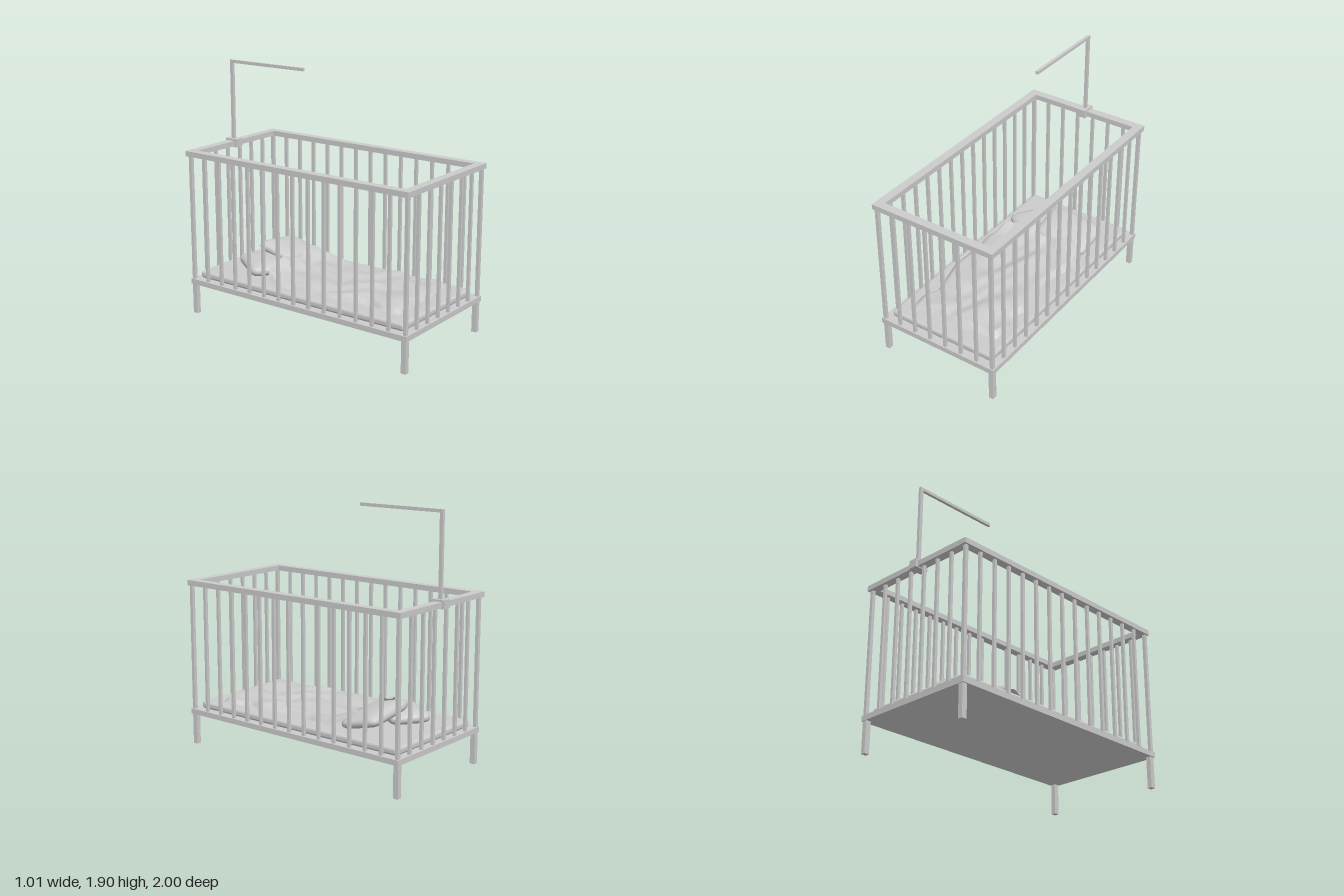
import * as THREE from 'three';
import { RoundedBoxGeometry } from 'three/addons/geometries/RoundedBoxGeometry.js';

const material = new THREE.MeshStandardMaterial({ color: 0xcccccc });
const clothMaterial = new THREE.MeshStandardMaterial({ color: 0xcccccc, side: THREE.DoubleSide });

function add(parent, name, geometry, x = 0, y = 0, z = 0, mat = material) {
  const mesh = new THREE.Mesh(geometry, mat);
  mesh.name = name;
  mesh.position.set(x, y, z);
  parent.add(mesh);
  return mesh;
}

// box given by its lower and upper limits on each axis
function box(parent, name, [x0, x1], [y0, y1], [z0, z1]) {
  return add(parent, name, new THREE.BoxGeometry(x1 - x0, y1 - y0, z1 - z0),
    (x0 + x1) / 2, (y0 + y1) / 2, (z0 + z1) / 2);
}

// cushion: a sphere squared off in plan, with full middle and thinner rim
function pillowGeometry(w, h, d) {
  const g = new THREE.SphereGeometry(1, 48, 32);
  const p = g.attributes.position;
  for (let i = 0; i < p.count; i++) {
    const x = p.getX(i), y = p.getY(i), z = p.getZ(i);
    const angle = Math.atan2(z, x);
    const c = Math.cos(angle), s = Math.sin(angle);
    const radius = Math.min(1, Math.hypot(x, z)) ** 0.75 * (c ** 8 + s ** 8) ** (-1 / 8);
    const height = Math.sign(y) * Math.abs(y) ** 0.85;
    p.setXYZ(i, c * radius * w / 2, height * h / 2, s * radius * d / 2);
  }
  g.computeVertexNormals();
  return g;
}

// smooth function through evenly spaced values
function spline(values) {
  const curve = new THREE.SplineCurve(values.map((v, i) => new THREE.Vector2(i, v)));
  return t => curve.getPoint(THREE.MathUtils.clamp(t, 0, 1)).y;
}

// crumpled sheet with wavy outline, edges falling to the mattress
function blanketGeometry() {
  const left = spline([-0.37, -0.4, -0.385, -0.385, -0.39, -0.37, -0.34, -0.31, -0.35, -0.34]);
  const right = spline([0.35, 0.38, 0.35, 0.315, 0.31, 0.345, 0.38, 0.34, 0.385, 0.37]);
  const back = spline([-0.31, -0.36, -0.37, -0.385, -0.385, -0.38, -0.41, -0.37]);
  const front = spline([0.83, 0.83, 0.81, 0.82, 0.825, 0.81, 0.8, 0.78]);
  const g = new THREE.PlaneGeometry(1, 1, 70, 110);
  const p = g.attributes.position, uv = g.attributes.uv;
  const step = THREE.MathUtils.smoothstep;
  for (let i = 0; i < p.count; i++) {
    const u = uv.getX(i), v = 1 - uv.getY(i);
    const x = THREE.MathUtils.lerp(left(v), right(v), u);
    const z = THREE.MathUtils.lerp(back(u), front(u), v);
    const folds = 0.007 * Math.sin(9 * x + 13 * z + 2 * Math.sin(7 * x - 3 * z))
      + 0.006 * Math.sin(21 * x - 11 * z + 1.5 * Math.sin(9 * z))
      + 0.004 * Math.sin(17 * z + 26 * x + 2 * Math.sin(12 * x));
    const side = step(Math.min(u, 1 - u) * 0.75, -0.02, 0.05);
    const foot = step((1 - v) * 1.2, -0.02, 0.05);
    const overPillow = 0.075 * (1 - step(z, -0.42, -0.2)) * (0.45 + 0.55 * side);
    const y = 0.342 + (0.043 + folds) * side * foot + overPillow
      + 0.006 * Math.sin(30 * z) * (1 - side);
    p.setXYZ(i, x, Math.max(y, 0.338), z);
  }
  g.computeVertexNormals();
  return g;
}

export function createModel() {
  const model = new THREE.Group();
  model.name = 'babyCot';

  // base board and legs
  box(model, 'baseBoard', [-0.5, 0.5], [0.238, 0.278], [-0.97, 1]);
  for (const x of [-0.472, 0.472]) {
    for (const z of [-0.945, 0.972]) {
      box(model, 'leg', [x - 0.018, x + 0.018], [0, 0.24], [z - 0.02, z + 0.02]);
    }
  }

  // top rail frame
  const rail = new THREE.Group();
  rail.name = 'topRail';
  model.add(rail);
  for (const x of [-0.4725, 0.4725]) {
    box(rail, 'sideRail', [x - 0.0325, x + 0.0325], [1.24, 1.28], [-0.98, 1]);
  }
  box(rail, 'backRail', [-0.44, 0.44], [1.24, 1.28], [-0.98, -0.915]);
  box(rail, 'frontRail', [-0.44, 0.44], [1.24, 1.28], [0.935, 1]);

  // corner posts and bars
  const bars = new THREE.Group();
  bars.name = 'bars';
  model.add(bars);
  const bar = (name, x, z, t) => add(bars, name, new THREE.BoxGeometry(t, 0.97, t), x, 0.759, z);
  const zBack = -0.95, zFront = 0.978;
  for (let i = 0; i < 15; i++) {
    const z = THREE.MathUtils.lerp(zFront, zBack, i / 14);
    const corner = i === 0 || i === 14;
    for (const x of [-0.478, 0.478]) {
      bar(corner ? 'cornerPost' : 'sideBar', x, z, corner ? 0.026 : 0.022);
    }
  }
  for (let i = 1; i < 7; i++) {
    const x = -0.478 + 0.956 * i / 7;
    bar('backBar', x, zBack, 0.022);
    bar('frontBar', x, zFront, 0.022);
  }

  // hanging arm clamped to the back rail
  const arm = new THREE.Group();
  arm.name = 'hangingArm';
  model.add(arm);
  box(arm, 'clamp', [-0.034, 0.034], [1.232, 1.295], [-1, -0.89]);
  box(arm, 'armPost', [-0.011, 0.011], [1.28, 1.905], [-0.96, -0.934]);
  box(arm, 'armBeam', [-0.011, 0.011], [1.882, 1.905], [-0.934, -0.257]);

  // bedding
  add(model, 'mattress', new RoundedBoxGeometry(0.89, 0.058, 1.86, 4, 0.022), 0, 0.307, 0.01);
  const lower = add(model, 'lowerPillow', pillowGeometry(0.42, 0.115, 0.31), -0.135, 0.39, -0.54);
  lower.rotation.y = 0.97;
  const upper = add(model, 'upperPillow', pillowGeometry(0.44, 0.115, 0.33), 0.15, 0.435, -0.51);
  upper.rotation.set(0.24, 0, -0.13);
  add(model, 'blanket', blanketGeometry(), 0, 0, 0, clothMaterial);

  return model;
}
